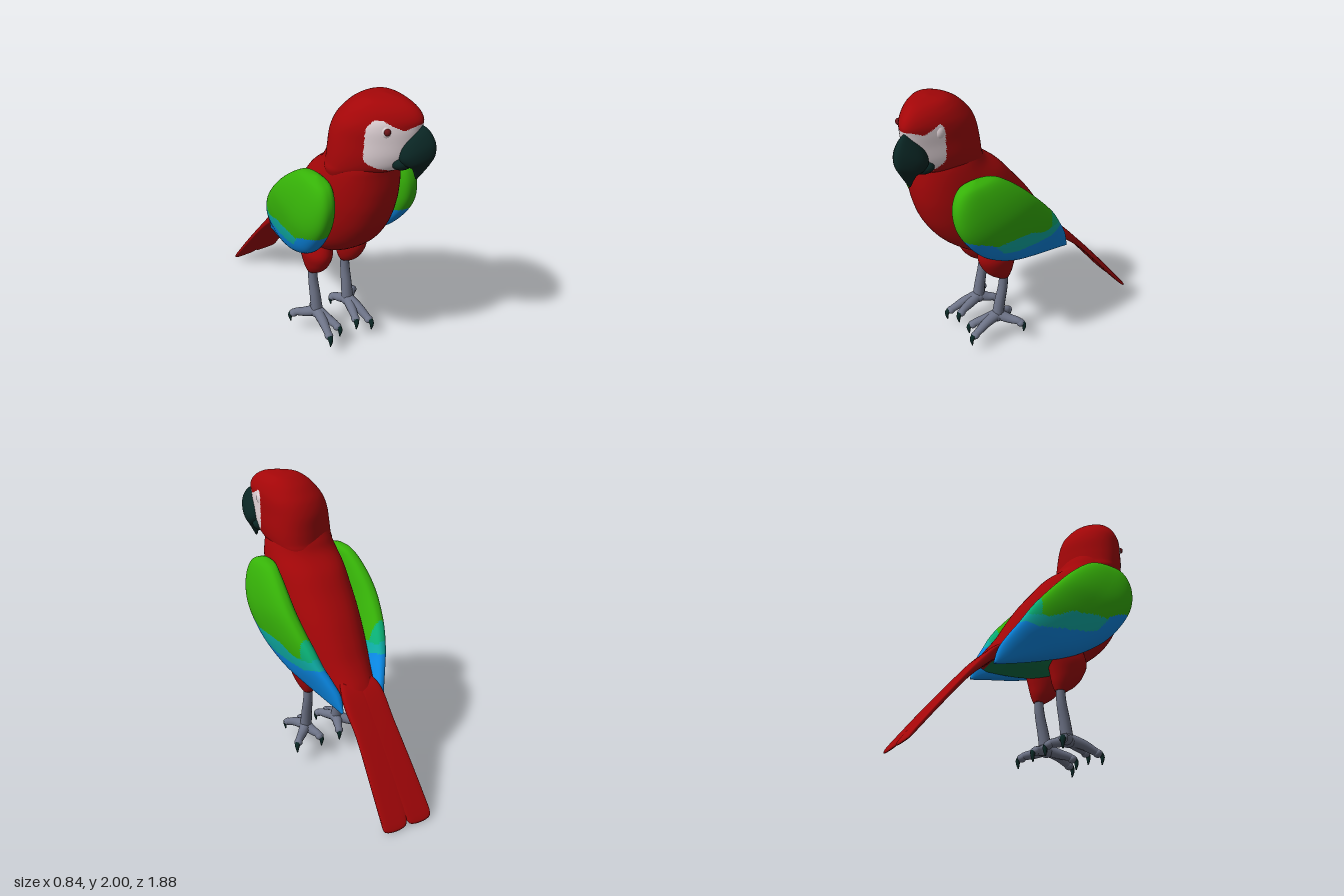
import * as THREE from 'three';

const mat = (name, color) => Object.assign(new THREE.MeshStandardMaterial({ color }), { name });
const red = mat('red plumage', 0xa40608);
const green = mat('green plumage', 0x36b208);
const seaGreen = mat('sea green plumage', 0x0ab478);
const teal = mat('teal plumage', 0x0eaea6);
const blue = mat('blue plumage', 0x0a88e4);
const white = mat('bare white face', 0xe8dade);
const horn = mat('dark horn', 0x0a2624);
const grey = mat('grey scales', 0x6e7488);
const vent = mat('dark green vent', 0x0c7449);
const iris = mat('dark red eye', 0x6a1418);

const spline = (a, b, c, d, t) =>
  b + 0.5 * t * (c - a + t * (2 * a - 5 * b + 4 * c - d + t * (3 * (b - c) + d - a)));

// Height of a polyline of [z, y] points at z
function lineAt(pts, z) {
  if (z <= pts[0][0]) return pts[0][1];
  for (let i = 1; i < pts.length; i++) {
    const [a, b] = [pts[i - 1], pts[i]];
    if (z <= b[0]) return b[1] + (a[1] - b[1]) * (b[0] - z) / (b[0] - a[0]);
  }
  return pts[pts.length - 1][1];
}

// Smooth skin through oval sections [front z, front y, back z, back y, half width, centre x].
// egg narrows the front; pick(x, y, z) chooses the material of each triangle.
function loft(name, sections, materials, { steps = 6, sides = 32, egg = 0, pow = 1, pick = () => 0 } = {}) {
  const rows = [];
  const last = sections.length - 1;
  for (let i = 0; i <= last * steps; i++) {
    const k = Math.min(Math.floor(i / steps), last - 1);
    const at = (j) => sections[THREE.MathUtils.clamp(j, 0, last)];
    rows.push(at(k).map((v, c) => spline(at(k - 1)[c], v, at(k + 1)[c], at(k + 2)[c], i / steps - k)));
  }
  const pos = [];
  const soft = (v) => Math.sign(v) * Math.abs(v) ** pow;
  for (const [fz, fy, bz, by, w, cx = 0] of rows) {
    for (let j = 0; j < sides; j++) {
      const t = (j / sides) * Math.PI * 2;
      const c = soft(Math.cos(t)), s = soft(Math.sin(t));
      pos.push(cx + s * w * (1 - egg * c), (fy + by + c * (fy - by)) / 2, (fz + bz + c * (fz - bz)) / 2);
    }
  }
  const tris = [];
  for (let i = 0; i < rows.length - 1; i++) {
    for (let j = 0; j < sides; j++) {
      const a = i * sides + j, b = i * sides + (j + 1) % sides;
      tris.push([a, b, a + sides], [b, b + sides, a + sides]);
    }
  }
  // End caps
  for (const [row, start] of [[rows[0], 0], [rows[rows.length - 1], (rows.length - 1) * sides]]) {
    const centre = pos.length / 3;
    pos.push(row[5] ?? 0, (row[1] + row[3]) / 2, (row[0] + row[2]) / 2);
    for (let j = 0; j < sides; j++) {
      const a = start + j, b = start + (j + 1) % sides;
      tris.push(start ? [a, b, centre] : [b, a, centre]);
    }
  }
  // Turn the skin outwards and sort its triangles by material
  const P = (i) => new THREE.Vector3().fromArray(pos, i * 3);
  const lists = materials.map(() => []);
  let volume = 0;
  for (const tri of tris) {
    const [a, b, c] = tri.map(P);
    volume += a.dot(b.clone().cross(c));
    const m = a.add(b).add(c).divideScalar(3);
    lists[pick(m.x, m.y, m.z)].push(tri);
  }
  const geo = new THREE.BufferGeometry();
  geo.setAttribute('position', new THREE.Float32BufferAttribute(pos, 3));
  const index = [];
  lists.forEach((list, k) => {
    geo.addGroup(index.length, list.length * 3, k);
    for (const [a, b, c] of list) index.push(...(volume < 0 ? [a, c, b] : [a, b, c]));
  });
  geo.setIndex(index);
  geo.computeVertexNormals();
  const mesh = new THREE.Mesh(geo, materials.length > 1 ? materials : materials[0]);
  mesh.name = name;
  return mesh;
}

// Tube along points whose radius goes from r0 to r1
function limb(name, points, r0, r1, material) {
  const path = new THREE.CatmullRomCurve3(points.map((p) => new THREE.Vector3(...p)));
  const geo = new THREE.TubeGeometry(path, 12, 1, 12);
  const p = geo.attributes.position, v = new THREE.Vector3();
  for (let i = 0; i < p.count; i++) {
    const u = Math.floor(i / 13) / 12, c = path.getPointAt(u);
    v.fromBufferAttribute(p, i).sub(c).multiplyScalar(r0 + (r1 - r0) * u).add(c);
    p.setXYZ(i, v.x, v.y, v.z);
  }
  const mesh = new THREE.Mesh(geo, material);
  mesh.name = name;
  return mesh;
}

function ball(name, material, [x, y, z], [sx, sy, sz]) {
  const mesh = new THREE.Mesh(new THREE.SphereGeometry(1, 24, 16), material);
  mesh.name = name;
  mesh.position.set(x, y, z);
  mesh.scale.set(sx, sy, sz);
  return mesh;
}

// Head, built facing +z and then turned to its left
const browEdge = [[0.2, 1.895], [0.31, 1.835], [0.37, 1.865]];
function makeHead() {
  const head = new THREE.Group();
  head.name = 'head';
  const isFace = (x, y, z) => y > 1.555 && y < lineAt(browEdge, z)
    && z > 0.155 + 0.24 * x + 5 * Math.max(0, 1.65 - y) ** 1.6 + 6 * Math.max(0, y - 1.82) ** 2;
  head.add(loft('skull', [
    [0.17, 1.45, -0.2, 1.45, 0.19], [0.22, 1.52, -0.22, 1.52, 0.216], [0.3, 1.57, -0.212, 1.57, 0.222],
    [0.34, 1.65, -0.205, 1.65, 0.22], [0.36, 1.75, -0.195, 1.75, 0.208], [0.375, 1.83, -0.165, 1.83, 0.195],
    [0.38, 1.89, -0.12, 1.89, 0.172], [0.34, 1.945, -0.06, 1.945, 0.138], [0.26, 1.985, 0.02, 1.985, 0.09],
    [0.15, 2.0, 0.12, 2.0, 0.01],
  ], [red, white], { sides: 180, steps: 9, egg: 0.38, pick: (x, y, z) => (isFace(x, y, z) ? 1 : 0) }));
  head.add(loft('upperBeak', [
    [0.36, 1.86, 0.25, 1.72, 0.045], [0.42, 1.83, 0.25, 1.67, 0.083], [0.465, 1.76, 0.26, 1.62, 0.1],
    [0.47, 1.68, 0.3, 1.59, 0.084], [0.445, 1.62, 0.335, 1.575, 0.055], [0.41, 1.56, 0.345, 1.54, 0.03],
    [0.365, 1.49, 0.355, 1.495, 0.006],
  ], [horn], { egg: 0.5 }));
  head.add(ball('lowerBeak', horn, [0, 1.61, 0.275], [0.118, 0.06, 0.075]));
  // Raised eye ring on each cheek; the left eye is closed
  for (const s of [-1, 1]) head.add(ball('eyeRing', white, [s * 0.115, 1.825, 0.2], [0.045, 0.06, 0.05]));
  head.add(ball('eye', iris, [-0.149, 1.832, 0.229], [0.02, 0.022, 0.02]));
  head.position.z = 0.52;
  head.rotation.y = THREE.MathUtils.degToRad(27);
  return head;
}

// Folded wing with its colour bands
const greenEdge = [[-0.1, 0.95], [-0.05, 0.94], [0, 0.955], [0.1, 1.0], [0.3, 1.01], [0.36, 1.0], [0.45, 1.05], [0.57, 1.09]];
const tealEdge = [[-0.2, 0.89], [-0.12, 0.865], [0, 0.87], [0.2, 0.885], [0.3, 0.91], [0.38, 1.0]];
function wingBand(x, y, z) {
  if (z > -0.1 && y > lineAt(greenEdge, z)) return 0;
  if (z < -0.02 && z > -0.18 && y > 0.94) return 1;
  return z < 0.38 && z > -0.23 && y > lineAt(tealEdge, z) ? 2 : 3;
}
function makeWing(s) {
  // upper edge z, y; lower edge z, y; inner x; outer x
  const sections = [
    [0.45, 1.475, 0.47, 1.475, 0.28, 0.3], [0.33, 1.46, 0.58, 1.43, 0.245, 0.35], [0.24, 1.41, 0.63, 1.33, 0.235, 0.385],
    [0.13, 1.32, 0.625, 1.2, 0.23, 0.41], [0.03, 1.22, 0.575, 1.08, 0.225, 0.415], [-0.07, 1.11, 0.48, 0.95, 0.21, 0.395],
    [-0.15, 1.01, 0.37, 0.85, 0.19, 0.365], [-0.22, 0.9, 0.2, 0.755, 0.17, 0.32], [-0.28, 0.81, 0, 0.69, 0.145, 0.265],
    [-0.33, 0.72, -0.2, 0.64, 0.13, 0.21], [-0.36, 0.61, -0.35, 0.605, 0.15, 0.165],
  ].map(([a, b, c, d, i, o]) => [a, b, c, d, (o - i) / 2, s * (i + o) / 2]);
  return loft(s > 0 ? 'leftWing' : 'rightWing', sections, [green, seaGreen, teal, blue],
    { sides: 112, steps: 9, egg: 0.15, pow: 0.8, pick: wingBand });
}

// Thigh, shank, four toes and claws
function makeLeg(s) {
  const leg = new THREE.Group();
  leg.name = s > 0 ? 'leftLeg' : 'rightLeg';
  leg.add(loft('thigh', [
    [0.34, 0.85, 0.0, 0.85, 0.08, s * 0.13], [0.358, 0.74, 0.06, 0.74, 0.096, s * 0.138],
    [0.325, 0.65, 0.085, 0.65, 0.083, s * 0.136], [0.27, 0.58, 0.1, 0.58, 0.062, s * 0.134],
    [0.2, 0.53, 0.12, 0.53, 0.036, s * 0.134],
  ], [red]));
  leg.add(limb('shank', [[s * 0.134, 0.6, 0.155], [s * 0.134, 0.45, 0.165], [s * 0.132, 0.32, 0.19], [s * 0.13, 0.19, 0.21]],
    0.028, 0.043, grey));
  leg.add(ball('ankle', grey, [s * 0.13, 0.2, 0.21], [0.048, 0.045, 0.055]));
  for (const [x, z, y] of [[0.17, 0.43, 0.135], [0.075, 0.395, 0.155], [0.26, 0.09, 0.16], [0.08, 0.085, 0.16]]) {
    const along = (t, h) => [s * (0.13 + (x - 0.13) * t), h, 0.21 + (z - 0.21) * t];
    leg.add(limb('toe', [along(0, 0.21), along(0.5, 0.185), along(0.85, y + 0.015), along(1, y)], 0.042, 0.024, grey));
    leg.add(ball('toePad', grey, along(0.95, y + 0.003), [0.03, 0.028, 0.03]));
    leg.add(limb('claw', [along(1, y + 0.005), along(1.09, y - 0.015), along(1.08, y - 0.07)], 0.023, 0.004, horn));
  }
  return leg;
}

// One long flat tail feather, overlapping its neighbour until the rounded tip
function makeTailFeather(s) {
  return loft(s > 0 ? 'leftTailFeather' : 'rightTailFeather', [
    [-0.2, 0.82, -0.22, 0.74, 0.05, 0.05], [-0.34, 0.745, -0.36, 0.635, 0.09, 0.062],
    [-0.5, 0.57, -0.525, 0.48, 0.1, 0.054], [-0.7, 0.325, -0.72, 0.248, 0.105, 0.066],
    [-0.855, 0.125, -0.865, 0.068, 0.1, 0.083], [-0.905, 0.058, -0.91, 0.015, 0.09, 0.094],
    [-0.925, 0.028, -0.925, 0.006, 0.07, 0.094], [-0.932, 0.014, -0.93, 0.002, 0.03, 0.094],
  ].map((r) => [...r.slice(0, 5), s * r[5]]), [red], { pow: 0.5 });
}

export function createModel() {
  const bird = new THREE.Group();
  bird.name = 'parrot';
  // Body from the neck down to the root of the tail, green underneath
  const isVent = (x, y, z) => y < 0.72 && z < (Math.abs(x) < 0.07 ? 0.21 : 0.12) && z > -0.28;
  bird.add(loft('body', [
    [0.68, 1.68, 0.36, 1.68, 0.17], [0.73, 1.58, 0.3, 1.58, 0.215], [0.74, 1.5, 0.25, 1.5, 0.238],
    [0.745, 1.38, 0.13, 1.4, 0.255], [0.73, 1.25, 0.03, 1.28, 0.262], [0.68, 1.1, -0.08, 1.14, 0.262],
    [0.59, 0.96, -0.17, 1.0, 0.252], [0.47, 0.85, -0.23, 0.9, 0.235], [0.33, 0.765, -0.28, 0.83, 0.21],
    [0.1, 0.675, -0.33, 0.765, 0.18], [-0.22, 0.655, -0.36, 0.72, 0.15],
  ], [red, vent], { sides: 64, steps: 8, pow: 0.9, pick: (x, y, z) => (isVent(x, y, z) ? 1 : 0) }));
  bird.add(makeHead());
  for (const s of [-1, 1]) bird.add(makeWing(s), makeLeg(s), makeTailFeather(s));
  return bird;
}
